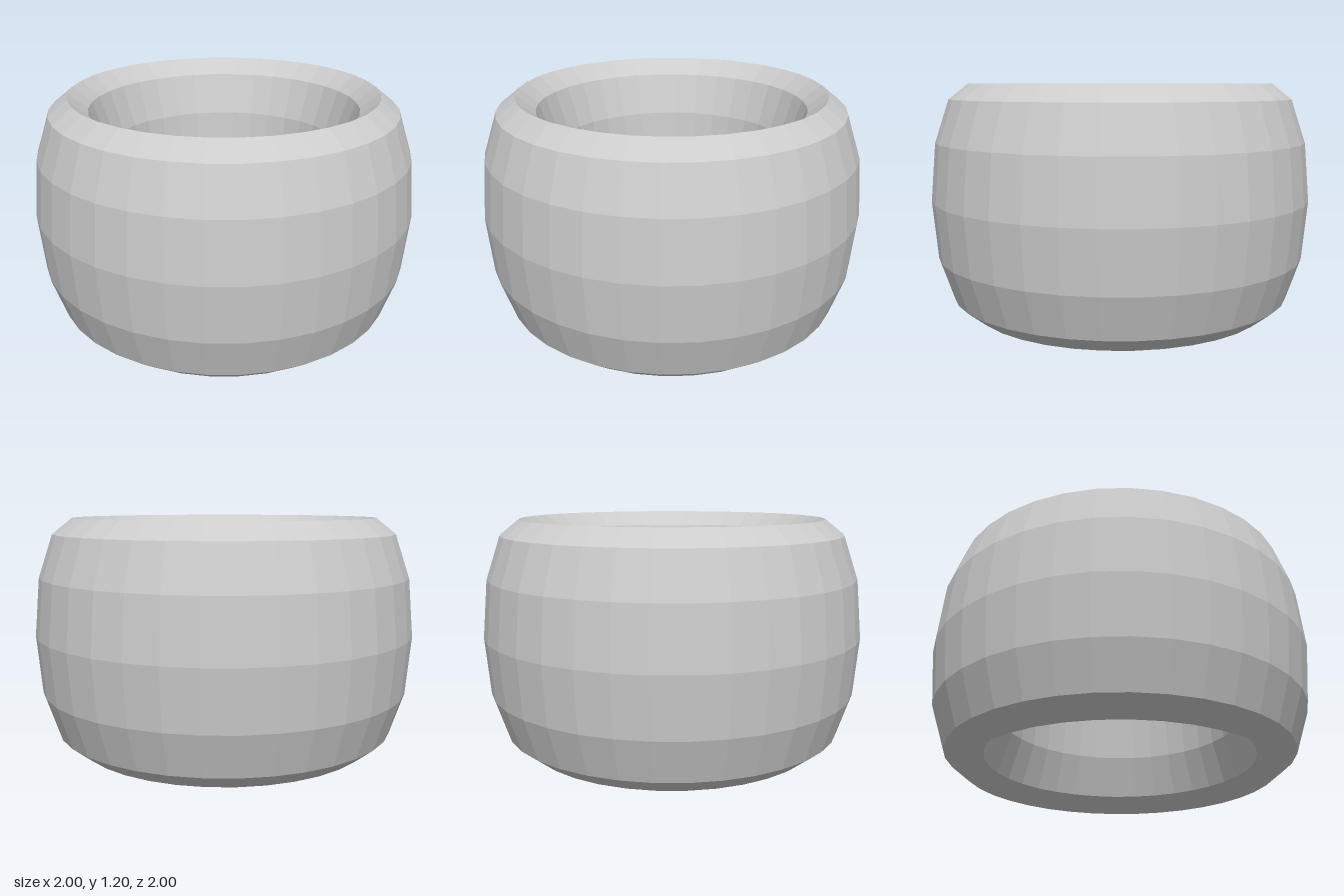
import * as THREE from 'three';

export function createModel() {
  const group = new THREE.Group();
  group.name = 'ring';

  // Faceted torus laid flat and stretched to three times its height
  const geometry = new THREE.TorusGeometry(0.8, 0.2, 12, 36);
  geometry.rotateX(Math.PI / 2);
  geometry.scale(1, 3, 1);
  geometry.translate(0, 0.6, 0);

  const material = new THREE.MeshStandardMaterial({ color: 0xcccccc, flatShading: true });
  const band = new THREE.Mesh(geometry, material);
  band.name = 'ringBand';
  group.add(band);
  return group;
}
